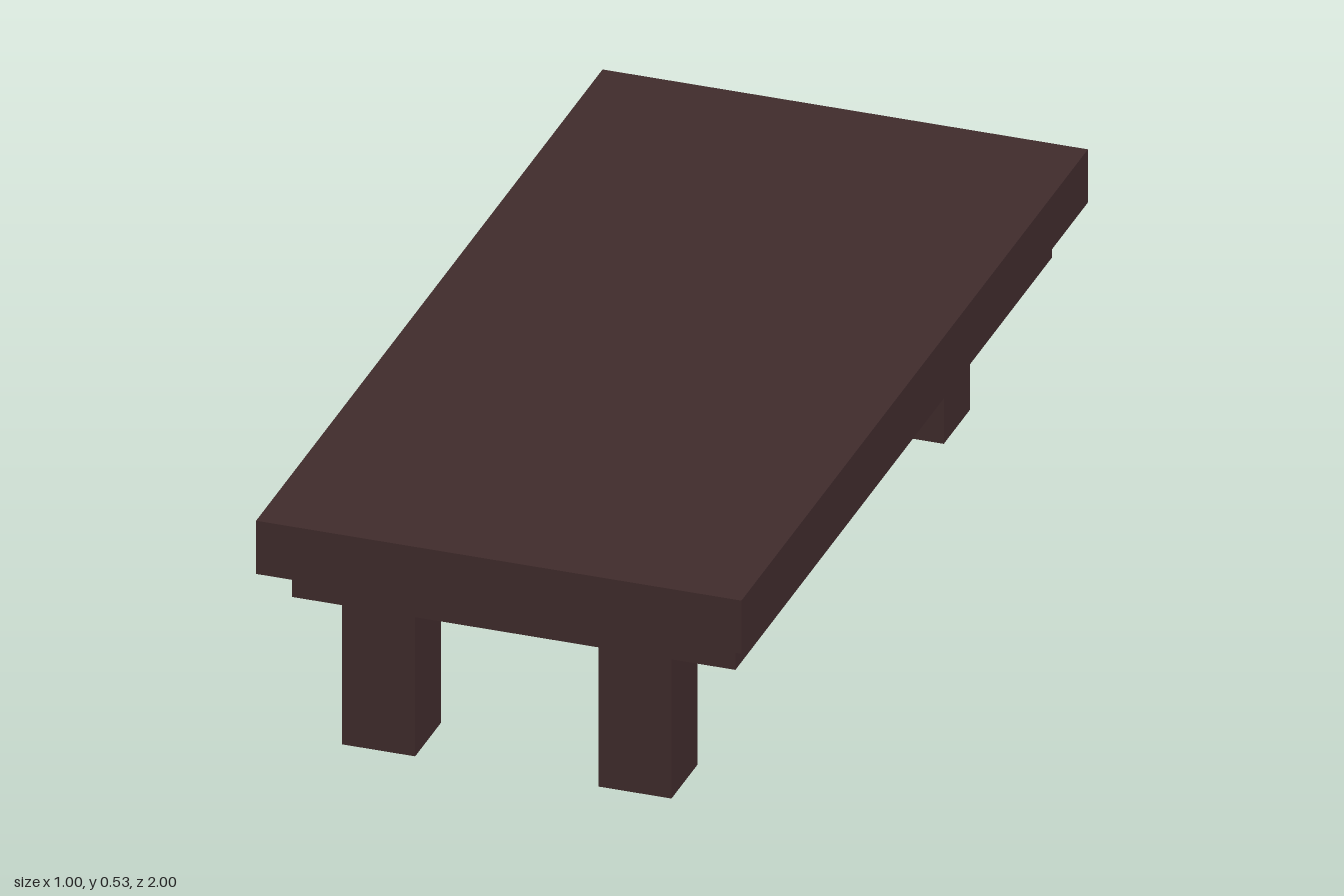
import * as THREE from 'three';

export function createModel() {
  const group = new THREE.Group();
  const darkWood = new THREE.MeshStandardMaterial({ color: 0x412c2d });
  darkWood.name = 'darkWood';

  // Box placed by its centre in x and z and its bottom and top heights
  function slab(name, width, depth, bottom, top, x = 0, z = 0) {
    const mesh = new THREE.Mesh(new THREE.BoxGeometry(width, top - bottom, depth), darkWood);
    mesh.name = name;
    mesh.position.set(x, (bottom + top) / 2, z);
    group.add(mesh);
  }

  // Thick top with a stepped-in apron below it
  slab('tableTop', 0.996, 2, 0.418, 0.534);
  slab('apron', 0.91, 1.828, 0.333, 0.418);

  // Four square legs; the right pair is slightly out of line
  const legs = [
    ['frontLeftLeg', 0.23, 0.786],
    ['frontRightLeg', -0.296, 0.786],
    ['backLeftLeg', 0.23, -0.786],
    ['backRightLeg', -0.286, -0.786],
  ];
  for (const [name, x, z] of legs) slab(name, 0.15, 0.15, 0, 0.333, x, z);

  return group;
}
